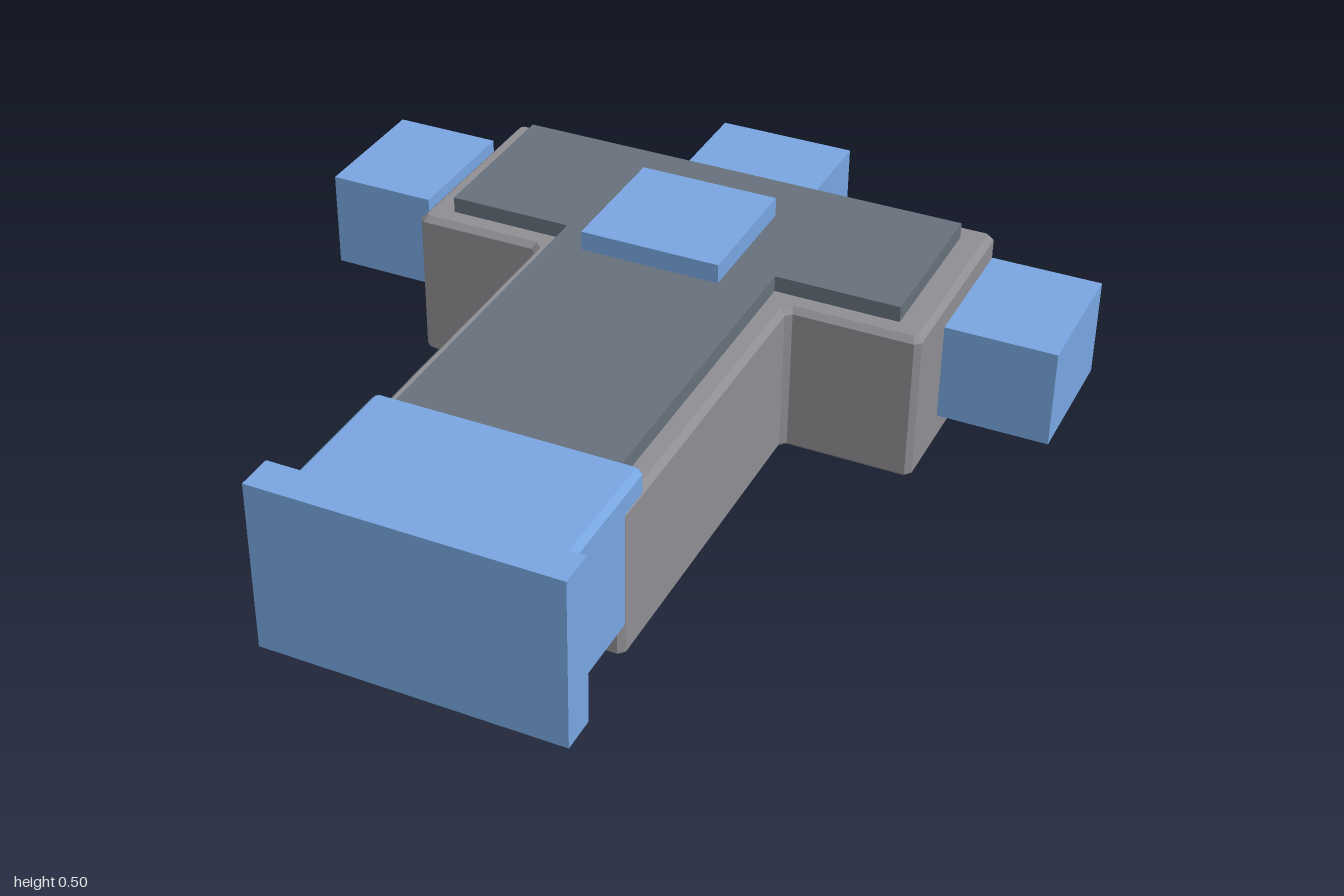
import * as THREE from 'three';

const material = (color) => new THREE.MeshStandardMaterial({ color, flatShading: true });

// T-shaped outline (x, z): wide bar at the back, stem towards the front
const tOutline = (barX, back, barFront, stemX, front) => [
  [-barX, back], [barX, back], [barX, barFront], [stemX, barFront],
  [stemX, front], [-stemX, front], [-stemX, barFront], [-barX, barFront],
];

// Cuts every corner of an outline by length c
function chamfer(points, c) {
  const pts = points.map(([x, z]) => new THREE.Vector2(x, z));
  const n = pts.length;
  return pts.flatMap((p, i) => [pts[(i + n - 1) % n], pts[(i + 1) % n]].map((q) =>
    p.clone().add(q.clone().sub(p).setLength(c))));
}

// Upright slab from an outline, with optional chamfer on all edges
function slab(outline, y0, y1, bevel = 0) {
  const pts = bevel ? chamfer(outline, bevel) : outline.map(([x, z]) => new THREE.Vector2(x, z));
  const shape = new THREE.Shape(pts.map((p) => new THREE.Vector2(p.x, -p.y)));
  const geometry = new THREE.ExtrudeGeometry(shape, {
    depth: y1 - y0 - 2 * bevel, bevelEnabled: bevel > 0, bevelSegments: 1,
    bevelSize: bevel, bevelThickness: bevel, bevelOffset: -bevel,
  });
  return geometry.rotateX(-Math.PI / 2).translate(0, y0 + bevel, 0);
}

// Box given by its limits on each axis
function box(x0, x1, y0, y1, z0, z1) {
  return new THREE.BoxGeometry(x1 - x0, y1 - y0, z1 - z0)
    .translate((x0 + x1) / 2, (y0 + y1) / 2, (z0 + z1) / 2);
}

export function createModel() {
  const group = new THREE.Group();
  const grey = material(0x8e8e93);
  const slate = material(0x66707b);
  const blue = material(0x78a5e0);
  const add = (name, geometry, mat) => {
    const mesh = new THREE.Mesh(geometry, mat);
    mesh.name = name;
    group.add(mesh);
  };

  // T-shaped body and the raised panel on its top
  add('body', slab(tOutline(0.65, -0.75, -0.215, 0.325, 0.66), 0, 0.39, 0.014), grey);
  add('topPanel', slab(tOutline(0.58, -0.69, -0.27, 0.27, 0.62), 0.38, 0.43), slate);

  // Front block overlapping the stem, closed by a wider plate
  const neck = [[-0.323, 0.55], [0.323, 0.55], [0.323, 0.92], [-0.323, 0.92]];
  add('frontBlock', slab(neck, 0.075, 0.44, 0.014), blue);
  add('frontPlate', box(-0.367, 0.367, 0.045, 0.472, 0.91, 1), blue);

  // Detached blocks around the bar
  for (const [name, s] of [['leftBlock', 1], ['rightBlock', -1]]) {
    add(name, box(-0.135, 0.135, 0.135, 0.38, -0.65, -0.308).translate(s * 0.81, 0, 0), blue);
  }
  add('backBlock', box(-0.175, 0.175, 0.135, 0.38, -1, -0.747), blue);

  // Floating tile above the panel
  add('topTile', box(-0.175, 0.175, 0.45, 0.498, -0.498, -0.155), blue);

  return group;
}
